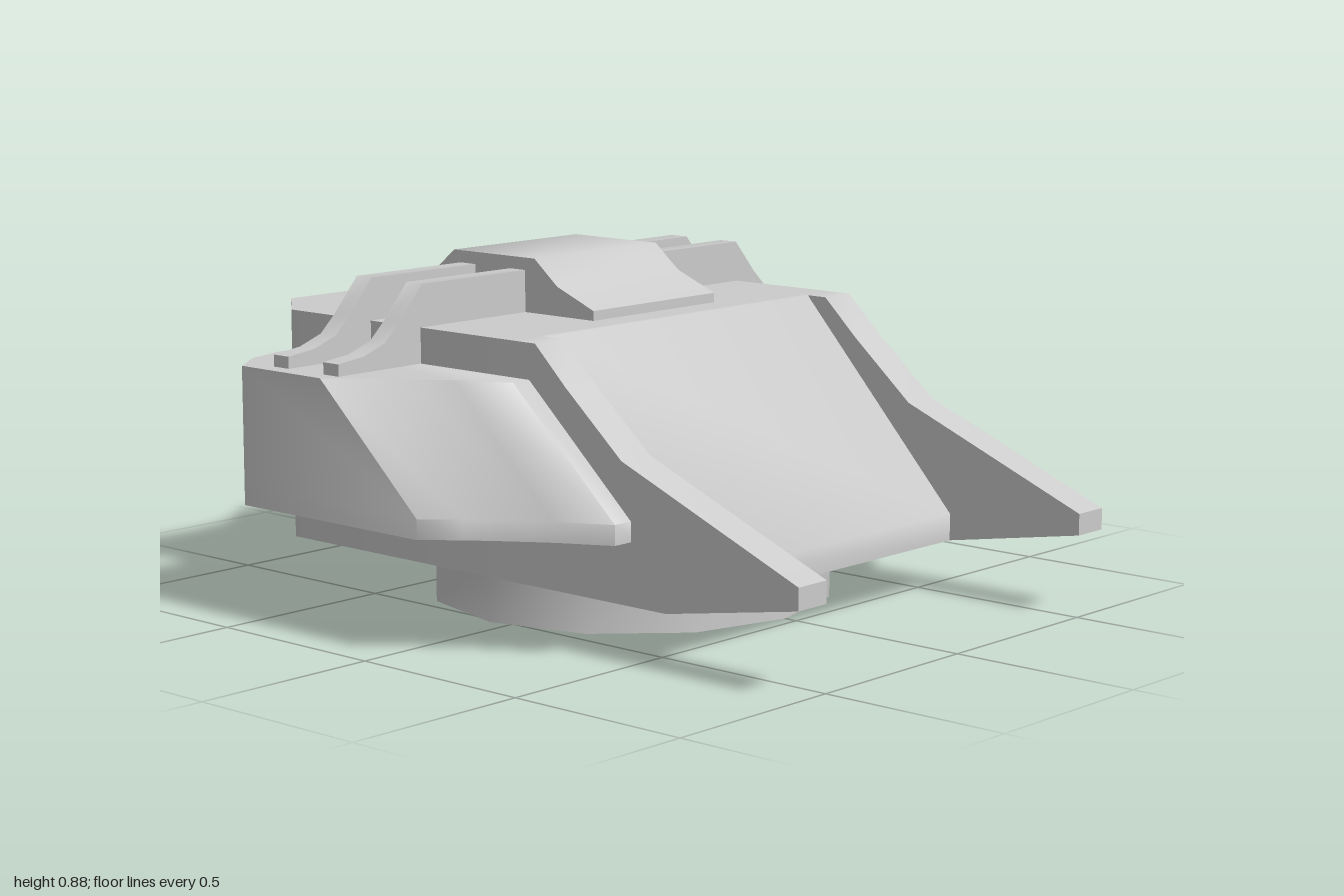
import * as THREE from 'three';
import { toCreasedNormals } from 'three/addons/utils/BufferGeometryUtils.js';

const CREASE = 0.9;
const material = new THREE.MeshStandardMaterial({ color: 0xcccccc });

const shapeOf = (points) => new THREE.Shape(points.map(([a, b]) => new THREE.Vector2(a, b)));
const extrude = (points, depth, steps = 1) =>
  new THREE.ExtrudeGeometry(shapeOf(points), { depth, steps, bevelEnabled: false });

// Half outline [x, y] completed with its mirror image across x = 0
const mirrored = (half) => [...half, ...half.map(([x, y]) => [-x, y]).reverse()];

// Plan outline [x, z] raised through the given heights; at the top, points
// in front of `limit` are raked back by `rake`
function prism(plan, heights, limit = Infinity, rake = 0) {
  const steps = heights.length - 1;
  const geo = extrude(plan.map(([x, z]) => [x, -z]), steps, steps).rotateX(-Math.PI / 2);
  const p = geo.attributes.position;
  for (let i = 0; i < p.count; i++) {
    const level = Math.round(p.getY(i));
    p.setY(i, heights[level]);
    if (level === steps && p.getZ(i) > limit) p.setZ(i, p.getZ(i) - rake);
  }
  return geo;
}

// Side outline [z, y] extruded across x, centred on `x`
const sideSlab = (outline, x, width) =>
  extrude(outline, width).translate(0, 0, -width / 2).rotateY(-Math.PI / 2).translate(x, 0, 0);

export function createModel() {
  const model = new THREE.Group();
  model.name = 'armouredHull';
  const add = (name, geometry) => {
    const mesh = new THREE.Mesh(toCreasedNormals(geometry, CREASE), material);
    mesh.name = name;
    model.add(mesh);
    return mesh;
  };

  // Hull with sloped front plate and chamfered rear corners
  const hullHalf = [[0.5, 0.6], [0.5, 0.1], [0.6, 0.1], [0.6, -0.69], [0.46, -0.85]];
  add('hull', prism(mirrored(hullHalf), [0.14, 0.21, 0.735], 0.2, 0.48));

  // Hollow twelve-sided mounting ring
  const ring = add('mountingRing',
    new THREE.CylinderGeometry(0.523, 0.523, 0.14, 12, 1, true).translate(0, 0.07, -0.058));
  ring.material = material.clone();
  ring.material.side = THREE.DoubleSide;

  // Forward prongs and side pods
  const prong = [[0.1, 0.14], [0.6, 0.14], [1, 0.21], [1, 0.265], [0.46, 0.485],
    [0.28, 0.64], [0.18, 0.735], [0.1, 0.735]];
  const pod = [[0.59, -0.62], [0.71, -0.62], [0.82, -0.59], [0.92, -0.515], [0.92, 0.1],
    [0.85, 0.18], [0.785, 0.27], [0.725, 0.36], [0.655, 0.49], [0.59, 0.49]];
  for (const [side, s] of [['left', 1], ['right', -1]]) {
    add(side + 'Prong', sideSlab(prong, s * 0.55, 0.1));
    add(side + 'Pod', prism(pod.map(([x, z]) => [s * x, z]), [0.295, 0.345, 0.645], 0, 0.33));
  }

  // Roof hatch
  add('roofHatch', sideSlab([[0.025, 0.72], [0.025, 0.76], [-0.1, 0.81], [-0.18, 0.875],
    [-0.47, 0.875], [-0.55, 0.81], [-0.685, 0.76], [-0.685, 0.72]], 0, 0.46));

  // Thin ribs crossing the roof and resting on the pods
  const rib = [[0.875, 0.64], [0.875, 0.675], [0.79, 0.685], [0.72, 0.71], [0.67, 0.757], [0.595, 0.843]];
  for (const z of [-0.24, -0.42])
    add('roofRib', extrude(mirrored(rib), 0.054).translate(0, 0, z - 0.027));

  // Stacked rear vents
  const vent = [[0.41, -0.84], [0.41, -0.868], [0.22, -0.892], [0.13, -0.935], [0.09, -0.965], [0.04, -1]];
  for (const y of [0.273, 0.46, 0.64])
    add('rearVent', prism(mirrored(vent), [y - 0.061, y + 0.061]));

  return model;
}
